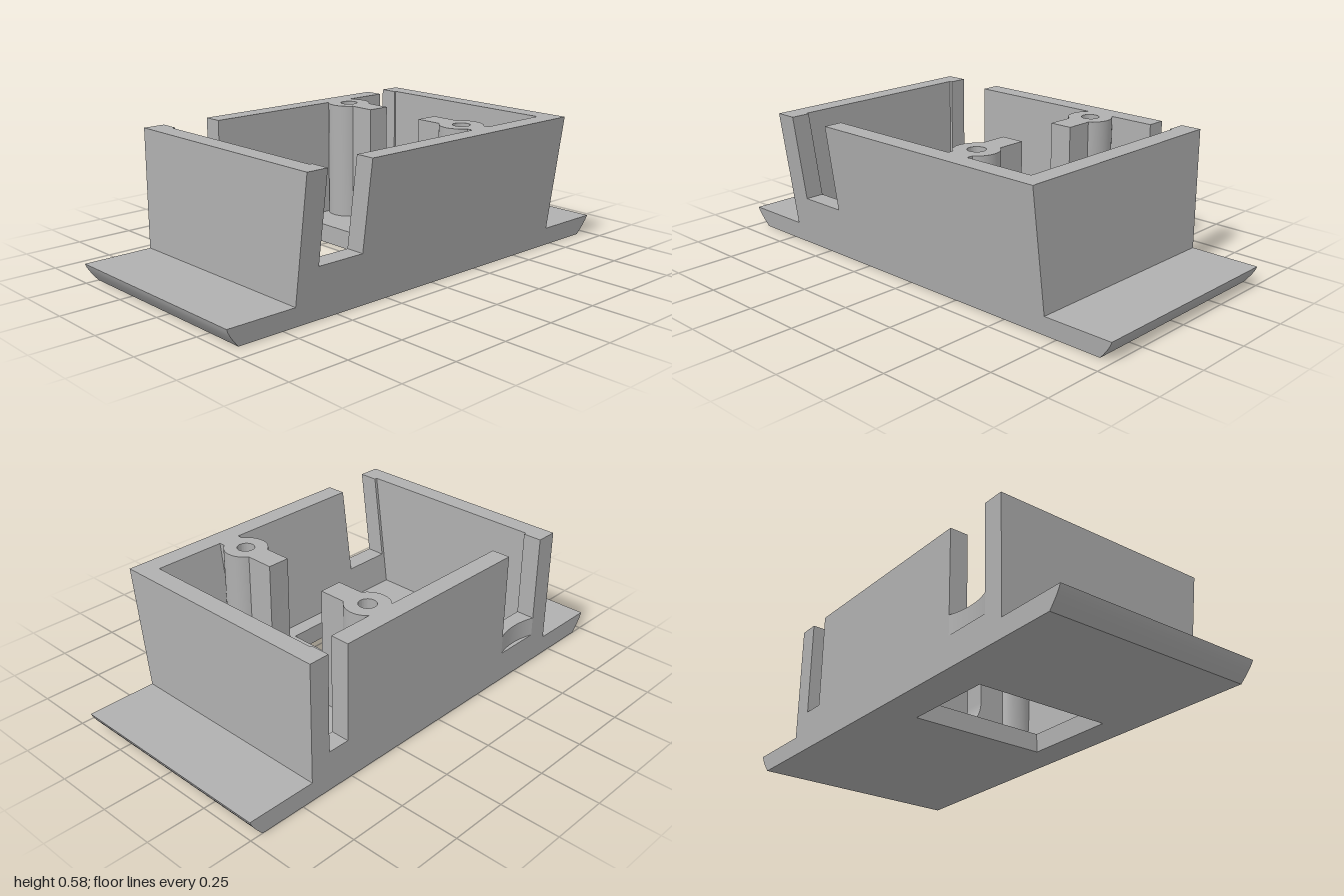
import * as THREE from 'three';
import { toCreasedNormals } from 'three/addons/utils/BufferGeometryUtils.js';

const FLOOR = 0.08, TOP = 0.58, SLOPE = 0.1414;
const OUT = 0.7025, IN = 0.6225, BACK = -0.5, BACK_IN = -0.42;
const frontIn = (y) => 0.334 + SLOPE * y;
const frontOut = (y) => 0.416 + SLOPE * y;

const poly = (pts) => new THREE.Shape(pts.map(([a, b]) => new THREE.Vector2(a, b)));
const extrude = (shape, depth, steps = 1) =>
  new THREE.ExtrudeGeometry(shape, { depth, steps, bevelEnabled: false, curveSegments: 24 });

// Shape in (x, -z), raised from y0 to y1
const rise = (shape, y0, y1, steps) => extrude(shape, y1 - y0, steps).rotateX(-Math.PI / 2).translate(0, y0, 0);
// Shape in (z, y), spanning x0 to x1
const across = (shape, x0, x1) => extrude(shape, x1 - x0).rotateY(-Math.PI / 2).translate(x1, 0, 0);

// Move every vertex by a rule
function reshape(geo, rule) {
  const p = geo.attributes.position, v = new THREE.Vector3();
  for (let i = 0; i < p.count; i++) {
    rule(v.fromBufferAttribute(p, i));
    p.setXYZ(i, v.x, v.y, v.z);
  }
  return geo;
}

export function createModel() {
  const group = new THREE.Group();
  const grey = new THREE.MeshStandardMaterial({ color: 0xb0b0b0 });
  grey.name = 'plain grey';
  const add = (name, geo) => {
    const mesh = new THREE.Mesh(toCreasedNormals(geo, 0.5), grey);
    mesh.name = name;
    group.add(mesh);
  };

  // Base plate with a rectangular opening, rounded-under ends and a sloping front
  const plate = poly([[-1, -0.4], [1, -0.4], [1, 0.5], [-1, 0.5]]);
  plate.holes.push(poly([[-0.36, -0.28], [-0.36, 0.33], [0.04, 0.33], [0.04, -0.28]]));
  add('basePlate', reshape(rise(plate, 0, FLOOR, 5), (v) => {
    if (Math.abs(v.x) > 0.9) v.x = Math.sign(v.x) * (1 - 0.055 * Math.pow(Math.max(0, 1 - v.y / FLOOR), 1.3));
    if (v.z > 0.35) v.z = frontOut(v.y);
  }));

  // Front wall with a slot, leaning outward
  const front = poly([
    [-OUT, FLOOR], [OUT, FLOOR], [OUT, TOP], [-0.4, TOP],
    [-0.4, 0.215], [-0.61, 0.215], [-0.61, TOP], [-OUT, TOP],
  ]);
  add('frontWall', reshape(extrude(front, 0.082), (v) => { v.z += frontIn(v.y); }));

  // Back wall with a wide and a narrow slot
  const back = poly([
    [-OUT, FLOOR], [OUT, FLOOR], [OUT, TOP], [0.615, TOP], [0.615, 0.17], [0.52, 0.17],
    [0.52, TOP], [-0.4, TOP], [-0.4, 0.13], [-0.61, 0.13], [-0.61, TOP], [-OUT, TOP],
  ]);
  add('backWall', extrude(back, BACK_IN - BACK).translate(0, 0, BACK));

  // Sill of the wide slot, scooped on the outside
  const sill = new THREE.Shape();
  sill.moveTo(-0.61, -BACK_IN);
  sill.lineTo(-0.4, -BACK_IN);
  sill.lineTo(-0.4, -BACK);
  sill.quadraticCurveTo(-0.505, -BACK - 0.036, -0.61, -BACK);
  add('backSill', rise(sill, 0.13, 0.213));

  // Side walls
  const side = poly([[BACK_IN, FLOOR], [frontIn(FLOOR), FLOOR], [frontIn(TOP), TOP], [BACK_IN, TOP]]);
  add('leftWall', across(side, IN, OUT));
  add('rightWall', across(side, -OUT, -IN));

  // Screw posts
  const postX = 0.265, postZ = [-0.355, 0.315];
  for (const z of postZ) {
    const ring = new THREE.Shape().absarc(postX, -z, 0.09, 0, Math.PI * 2);
    ring.holes.push(new THREE.Path().absarc(postX, -z, 0.036, 0, Math.PI * 2, true));
    add(z < 0 ? 'backPost' : 'frontPost', rise(ring, FLOOR, TOP));
  }

  // Web joining the posts, with a round-bottomed cradle
  const r = 0.1425, mid = -0.0225, cy = 0.245;
  const web = new THREE.Shape();
  web.moveTo(postZ[0] + 0.06, FLOOR);
  web.lineTo(postZ[1] - 0.06, FLOOR);
  web.lineTo(postZ[1] - 0.06, TOP);
  web.lineTo(mid + r, TOP);
  web.lineTo(mid + r, cy);
  web.absarc(mid, cy, r, 0, Math.PI, true);
  web.lineTo(mid - r, TOP);
  web.lineTo(postZ[0] + 0.06, TOP);
  add('cradleWeb', across(web, 0.218, 0.315));

  // Tab tying the front post to the front wall
  const tab = poly([[postZ[1] + 0.06, FLOOR], [0.4, FLOOR], [frontIn(TOP) + 0.005, TOP], [postZ[1] + 0.06, TOP]]);
  add('frontPostTab', across(tab, 0.218, 0.315));

  return group;
}
